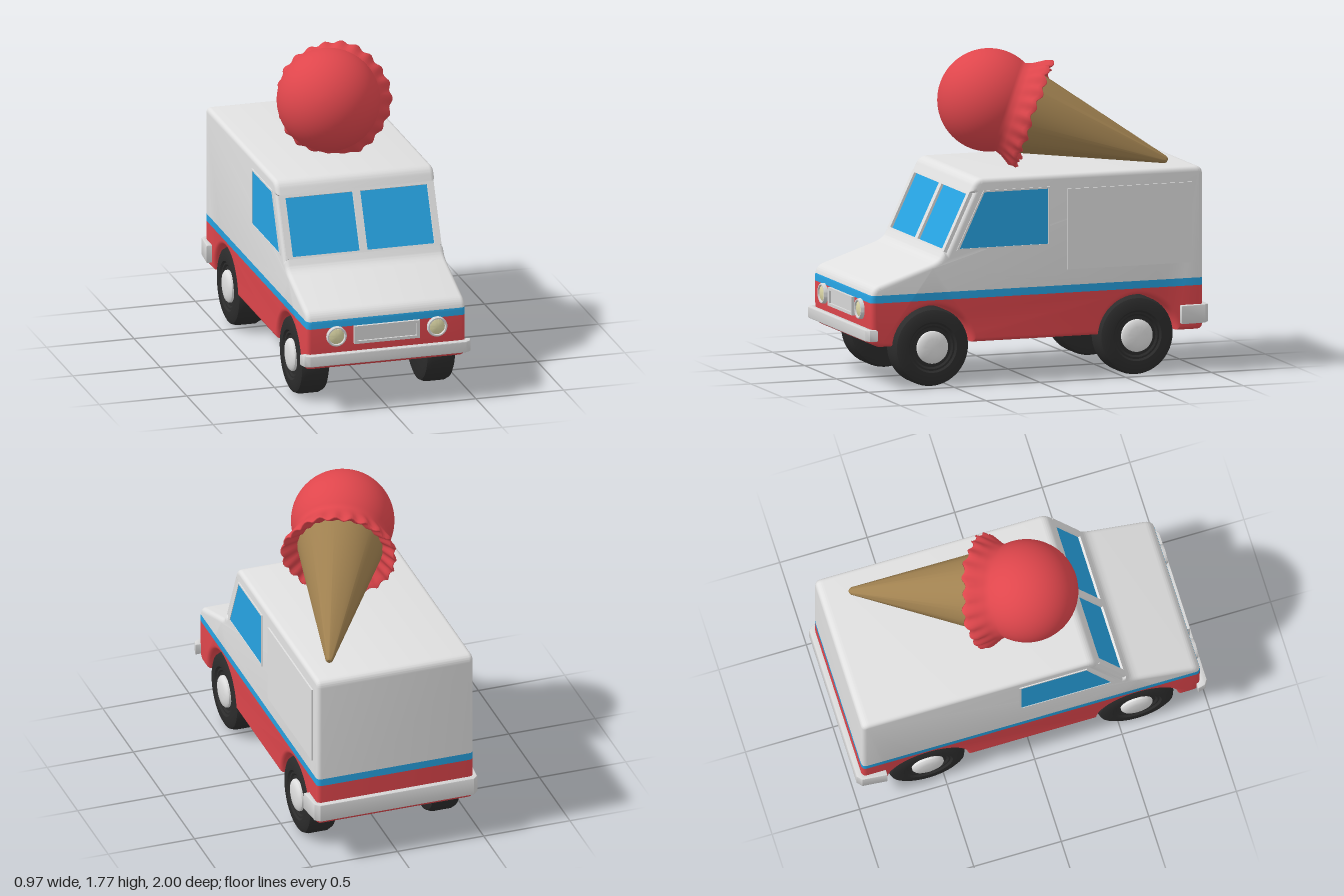
import * as THREE from 'three';
import { toCreasedNormals, mergeVertices } from 'three/addons/utils/BufferGeometryUtils.js';

const mat = (name, color, side = THREE.FrontSide) => {
  const m = new THREE.MeshStandardMaterial({ color, side });
  m.name = name;
  return m;
};

// Keeps the part of a geometry between two heights.
function sliceY(geo, lo, hi) {
  const P = geo.attributes.position, N = geo.attributes.normal, pos = [], nor = [];
  const clip = (poly, y, sign) => {
    const out = [];
    poly.forEach((a, i) => {
      const b = poly[(i + 1) % poly.length];
      const da = (a.p.y - y) * sign, db = (b.p.y - y) * sign;
      if (da >= 0) out.push(a);
      if (da * db < 0) {
        const t = da / (da - db);
        out.push({ p: a.p.clone().lerp(b.p, t), n: a.n.clone().lerp(b.n, t).normalize() });
      }
    });
    return out;
  };
  for (let i = 0; i < P.count; i += 3) {
    let poly = [0, 1, 2].map(k => ({
      p: new THREE.Vector3().fromBufferAttribute(P, i + k),
      n: new THREE.Vector3().fromBufferAttribute(N, i + k),
    }));
    poly = clip(clip(poly, lo, 1), hi, -1);
    for (let k = 1; k < poly.length - 1; k++)
      for (const v of [poly[0], poly[k], poly[k + 1]]) {
        pos.push(v.p.x, v.p.y, v.p.z);
        nor.push(v.n.x, v.n.y, v.n.z);
      }
  }
  const g = new THREE.BufferGeometry();
  g.setAttribute('position', new THREE.Float32BufferAttribute(pos, 3));
  g.setAttribute('normal', new THREE.Float32BufferAttribute(nor, 3));
  return g;
}

const V2 = pts => pts.map(([x, y]) => new THREE.Vector2(x, y));
const poly = pts => new THREE.Shape(V2(pts));
const rect = (x0, y0, x1, y1) => [[x0, y0], [x1, y0], [x1, y1], [x0, y1]];
const plate = (shape, depth) => new THREE.ExtrudeGeometry(shape, { depth, bevelEnabled: false });
const framed = (outer, ...inner) => {
  const s = poly(outer);
  inner.forEach(h => s.holes.push(new THREE.Path(V2(h))));
  return s;
};

export function createModel() {
  const van = new THREE.Group();
  van.name = 'iceCreamVan';
  const white = mat('bodyWhite', 0xe0e0e0);
  const red = mat('red', 0xdf464c);
  const blue = mat('blue', 0x27a3e2);
  const silver = mat('trimSilver', 0xd6d6d6);
  const lensMat = mat('lampCream', 0xdcd7a6);
  const tyreMat = mat('tyreBlack', 0x2c2c2c);
  const waffle = mat('waffle', 0xa08150);

  const add = (name, geo, material, parent = van) => {
    const m = new THREE.Mesh(geo, material);
    m.name = name;
    parent.add(m);
    return m;
  };

  // Body: side profile extruded across the width, with rounded edges
  const half = 0.453, bevel = 0.025, wheelY = 0.217;
  const base = { z: 0.541, y: 0.745 }, tilt = Math.atan(0.4756), topY = 1.065;
  const topZ = base.z - (topY - base.y) * Math.tan(tilt);
  const inZ = 0.02 * Math.cos(tilt), inY = 0.02 * Math.sin(tilt);
  const s = new THREE.Shape();
  s.moveTo(-0.935, 0.235);
  s.absarc(-0.59, wheelY, 0.228, Math.PI - 0.08, 0.08, true);
  s.absarc(0.606, wheelY, 0.232, Math.PI - 0.08, 0.08, true);
  s.lineTo(0.9, 0.235);
  s.quadraticCurveTo(0.955, 0.235, 0.962, 0.285);
  s.lineTo(0.965, 0.5);
  s.quadraticCurveTo(0.962, 0.56, 0.915, 0.576);
  s.lineTo(0.62, 0.675);
  s.quadraticCurveTo(0.575, 0.69, 0.558, 0.715);
  s.lineTo(base.z, base.y);
  s.lineTo(base.z - inZ, base.y - inY);
  s.lineTo(topZ - inZ, topY - inY);
  s.lineTo(topZ, topY);
  s.lineTo(0.374, 1.095);
  s.quadraticCurveTo(0.355, 1.137, 0.31, 1.137);
  s.lineTo(-0.925, 1.137);
  s.quadraticCurveTo(-0.97, 1.137, -0.97, 1.092);
  s.lineTo(-0.97, 0.27);
  s.quadraticCurveTo(-0.97, 0.235, -0.935, 0.235);
  const depth = 2 * (half - bevel);
  let body = new THREE.ExtrudeGeometry(s, {
    depth, curveSegments: 14, bevelSegments: 4,
    bevelSize: bevel, bevelThickness: bevel, bevelOffset: -bevel,
  });
  body.rotateY(-Math.PI / 2).translate(depth / 2, 0, 0);
  body = toCreasedNormals(body, 0.55);
  add('lowerBody', sliceY(body, -1, 0.48), red);
  add('bodyStripe', sliceY(body, 0.48, 0.522), blue);
  add('upperBody', sliceY(body, 0.522, 3), white);

  // Windscreen: sloping frame with two recessed panes
  const screen = new THREE.Group();
  screen.name = 'windscreen';
  screen.position.set(0, base.y, base.z);
  screen.rotation.x = -tilt;
  van.add(screen);
  const len = (topY - base.y) / Math.cos(tilt);
  const panes = [rect(-0.405, 0.012, -0.021, len - 0.016), rect(0.021, 0.012, 0.405, len - 0.016)];
  add('windscreenFrame', plate(framed(rect(-0.442, 0, 0.442, len), ...panes), 0.02), white, screen).position.z = -0.02;
  panes.forEach(p => { add('windscreenPane', plate(poly(p), 0.005), blue, screen).position.z = -0.019; });

  // Side windows with thin rims
  const glass = [[0.452, 0.757], [0.308, 1.062], [-0.064, 1.062], [-0.064, 0.757]];
  const rim = [[0.469, 0.749], [0.312, 1.072], [-0.073, 1.072], [-0.073, 0.749]];
  for (const side of [1, -1]) {
    const put = (name, shape, d, m) => {
      const g = plate(shape, d).rotateY(-Math.PI / 2);
      add(name, g, m).position.x = side > 0 ? half + d - 0.001 : -half + 0.001;
    };
    put('sideWindow', poly(glass), 0.004, blue);
    put('sideWindowRim', framed(rim, glass), 0.007, white);
  }

  // Serving hatch on the left side
  const hatch = add('servingHatch', new THREE.BoxGeometry(0.012, 0.445, 0.723), white);
  hatch.position.set(half + 0.003, 0.832, -0.539);

  // Bumpers wrapping round the corners, drawn in plan
  const bumper = (name, outer, inner, y, h) => {
    const half1 = [...outer, ...inner.slice().reverse()];
    const pts = [...outer, ...outer.slice().reverse().map(([x, z]) => [-x, z]),
      ...inner.map(([x, z]) => [-x, z]), ...inner.slice().reverse()];
    if (half1.length < 4) return;
    const g = new THREE.ExtrudeGeometry(poly(pts), {
      depth: h - 0.012, bevelSize: 0.006, bevelThickness: 0.006, bevelOffset: -0.006, bevelSegments: 2,
    });
    g.rotateX(Math.PI / 2).translate(0, y + h - 0.006, 0);
    add(name, toCreasedNormals(g, 0.6), silver);
  };
  bumper('frontBumper', [[0.485, 0.94], [0.474, 0.982], [0.445, 1]], [[0.45, 0.94], [0.445, 0.955], [0.43, 0.96]], 0.272, 0.064);
  bumper('rearBumper', [[0.485, -0.835], [0.472, -0.975], [0.445, -1]], [[0.45, -0.835], [0.448, -0.955], [0.43, -0.965]], 0.272, 0.103);

  // Grille
  const hole = rect(-0.17, 0.394, 0.17, 0.464);
  add('grilleFrame', plate(framed(rect(-0.187, 0.378, 0.187, 0.48), hole), 0.025), silver).position.z = 0.957;
  add('grillePanel', plate(poly(hole), 0.009), silver).position.z = 0.961;

  // Lathe parts turned onto another axis
  const lathe = (pts, seg = 40) => toCreasedNormals(new THREE.LatheGeometry(V2(pts), seg), 0.6);

  // Headlights
  for (const x of [-0.287, 0.287]) {
    const lamp = new THREE.Group();
    lamp.name = 'headlight';
    lamp.position.set(x, 0.43, 0.955);
    lamp.rotation.x = Math.PI / 2;
    van.add(lamp);
    add('headlightRing', lathe([[0.057, 0], [0.057, 0.022], [0.053, 0.03], [0.046, 0.03], [0.043, 0.016]]), silver, lamp);
    add('headlightLens', lathe([[0.045, 0.012], [0.042, 0.022], [0.025, 0.028], [0, 0.03]]), lensMat, lamp);
  }

  // Wheels
  const tyre = lathe([[0, 0], [0.18, 0], [0.205, 0.01], [0.217, 0.035], [0.217, 0.138], [0.207, 0.162],
    [0.185, 0.173], [0.14, 0.173], [0.13, 0.163], [0.12, 0.163], [0.11, 0.155], [0, 0.155]], 48);
  const hub = lathe([[0.09, 0.14], [0.09, 0.168], [0.08, 0.178], [0.05, 0.184], [0, 0.187]]);
  for (const z of [0.603, -0.59]) for (const side of [1, -1]) {
    const wheel = new THREE.Group();
    wheel.name = 'wheel';
    wheel.position.set(side * 0.272, wheelY, z);
    wheel.rotation.z = -side * Math.PI / 2;
    van.add(wheel);
    add('tyre', tyre, tyreMat, wheel);
    add('hubCap', hub, white, wheel);
  }

  // Rooftop ice cream, built upright from the cone tip and then laid over
  const cone = new THREE.Group();
  cone.name = 'rooftopIceCream';
  const tip = new THREE.Vector3(0.32, 1.165, -0.79);
  const axis = new THREE.Vector3(-0.067, 1.484, 0.086).sub(tip);
  const ballAt = axis.length(), ballR = 0.283;
  cone.position.copy(tip);
  cone.quaternion.setFromUnitVectors(new THREE.Vector3(0, 1, 0), axis.normalize());
  van.add(cone);
  add('waffleCone', lathe([[0, -0.022], [0.012, -0.019], [0.021, -0.008], [0.024, 0.005], [0.238, 0.82], [0, 0.83]], 48), waffle, cone);

  // Scoop with a flared, rippled skirt
  const profile = [[0.2, 0.83], [0.24, 0.8], [0.285, 0.765], [0.305, 0.748], [0.312, 0.752], [0.306, 0.775], [0.288, 0.81], [0.266, 0.85]];
  for (let i = 0; i <= 24; i++) {
    const a = THREE.MathUtils.lerp(-0.46, Math.PI / 2, i / 24);
    profile.push([Math.max(0, ballR * Math.cos(a)), ballAt + ballR * Math.sin(a)]);
  }
  let scoop = new THREE.LatheGeometry(V2(profile), 144);
  const p = scoop.attributes.position;
  for (let i = 0; i < p.count; i++) {
    const x = p.getX(i), y = p.getY(i), z = p.getZ(i), a = Math.atan2(z, x);
    const w = 1 - THREE.MathUtils.smoothstep(y, 0.75, 0.86);
    const k = 1 + w * (0.025 * Math.sin(22 * a) + 0.015 * Math.sin(5 * a));
    p.setXYZ(i, x * k, y + w * (0.01 * Math.cos(22 * a) + 0.006 * Math.sin(7 * a)), z * k);
  }
  scoop.deleteAttribute('uv');
  scoop.deleteAttribute('normal');
  scoop = mergeVertices(scoop, 1e-4);
  scoop.computeVertexNormals();
  add('iceCreamScoop', scoop, red, cone);

  return van;
}
